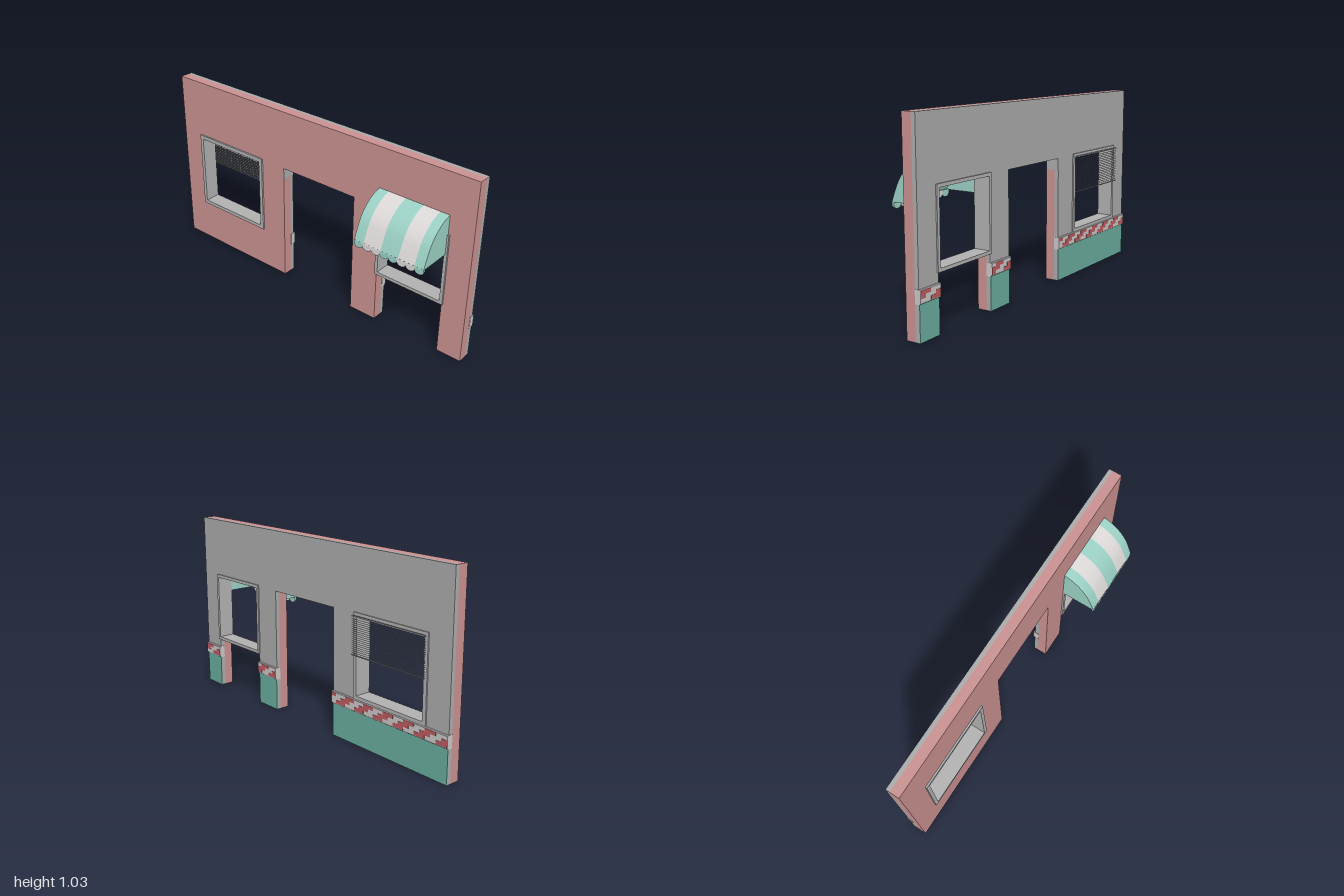
import * as THREE from 'three';

const mat = (name, color, side = THREE.FrontSide) => {
  const m = new THREE.MeshStandardMaterial({ color, side });
  m.name = name;
  return m;
};

export function createModel() {
  const pink = mat('pink plaster', 0xc99090);
  const grey = mat('grey plaster', 0xaaaaaa);
  const frameGrey = mat('frame grey', 0xb0b0b0);
  const teal = mat('teal paint', 0x69ac9d);
  const mint = mat('mint cloth', 0x9bd0c4, THREE.DoubleSide);
  const white = mat('white cloth', 0xdcd8d8, THREE.DoubleSide);
  const tileGrey = mat('pale tile', 0xc9c6c6);
  const tileRed = mat('red tile', 0xbd5a5e);
  const slatGrey = mat('slat grey', 0xa0a0a0);

  const model = new THREE.Group();
  model.name = 'shopWall';

  const add = (name, geo, material, parent = model) => {
    const mesh = new THREE.Mesh(geo, material);
    mesh.name = name;
    parent.add(mesh);
    return mesh;
  };
  // Box given by its minimum and maximum on each axis
  const box = (name, material, x0, x1, y0, y1, z0, z1, parent = model) => {
    const mesh = add(name, new THREE.BoxGeometry(x1 - x0, y1 - y0, z1 - z0), material, parent);
    mesh.position.set((x0 + x1) / 2, (y0 + y1) / 2, (z0 + z1) / 2);
    return mesh;
  };
  const poly = pts => new THREE.Shape(pts.map(p => new THREE.Vector2(...p)));
  const rect = (x0, x1, y0, y1) => [[x0, y0], [x1, y0], [x1, y1], [x0, y1]];
  const slab = (shape, z0, z1) =>
    new THREE.ExtrudeGeometry(shape, { depth: z1 - z0, bevelEnabled: false }).translate(0, 0, z0);
  // Extrudes a (z, y) profile along x
  const alongX = (shape, x0, x1) =>
    new THREE.ExtrudeGeometry(shape, { depth: x1 - x0, bevelEnabled: false })
      .rotateY(-Math.PI / 2).translate(x1, 0, 0);

  // Wall in two layers, with a doorway, a serving hatch and a window hole
  const wall = poly([
    [-1, 0], [-0.2, 0], [-0.2, 0.7], [0.29, 0.7], [0.29, 0], [0.455, 0], [0.455, 0.7],
    [0.86, 0.7], [0.86, 0], [1, 0], [1, 1.035], [-1, 1.035],
  ]);
  wall.holes.push(poly(rect(-0.85, -0.37, 0.255, 0.695)));
  add('outerWall', slab(wall, -0.1, -0.047), pink);
  add('innerWall', slab(wall, -0.123, -0.1), grey);
  // Grey lining at the head of the doorway
  box('doorHead', grey, -0.2, 0.29, 0.697, 0.7, -0.123, -0.048);
  box('doorHeadSide', grey, -0.2, -0.198, 0.63, 0.7, -0.123, -0.048);

  // Window frames through the wall
  const windowFrame = (name, x0, x1, y0, y1, t) => {
    const ring = poly(rect(x0, x1, y0, y1));
    ring.holes.push(poly(rect(x0 + t, x1 - t, y0 + t, y1 - t)));
    add(name, slab(ring, -0.13, -0.037), frameGrey);
  };
  windowFrame('windowFrame', -0.86, -0.36, 0.247, 0.705, 0.022);
  windowFrame('hatchFrame', 0.449, 0.87, 0.297, 0.705, 0.018);

  // Painted base and tiled rail along the inside
  const railProfile = poly([
    [-0.101, 0.18], [-0.125, 0.18], [-0.131, 0.183], [-0.134, 0.19],
    [-0.134, 0.246], [-0.131, 0.25], [-0.101, 0.25],
  ]);
  for (const [x0, x1] of [[-1, -0.2], [0.29, 0.455], [0.86, 1]]) {
    const base = new THREE.Group();
    base.name = 'tiledBase';
    model.add(base);
    box('paintedBase', teal, x0, x1, 0, 0.18, -0.126, -0.122, base);
    add('tileRail', alongX(railProfile, x0 - 0.002, x1 + 0.002), tileGrey, base);
    const n = Math.round((x1 - x0) / 0.035), w = (x1 - x0) / n;
    for (let row = 0; row < 3; row++) {
      for (let i = 0; i < n; i++) {
        if ((i + row) % 4 > 1) continue;
        const y = 0.19 + row * 0.0185;
        box('redTile', tileRed, x0 + i * w, x0 + (i + 1) * w, y, y + 0.0185, -0.1355, -0.133, base);
      }
    }
  }

  // Slatted blind behind the window
  const blind = new THREE.Group();
  blind.name = 'blind';
  model.add(blind);
  box('blindHead', slatGrey, -0.857, -0.363, 0.686, 0.693, -0.148, -0.141, blind);
  box('blindFoot', slatGrey, -0.857, -0.363, 0.486, 0.491, -0.147, -0.142, blind);
  for (let i = 0; i < 18; i++) {
    const y = 0.5 + i * 0.0103;
    const slat = box('slat', slatGrey, -0.857, -0.363, y - 0.0006, y + 0.0006, -0.1475, -0.1415, blind);
    slat.rotation.x = 0.6;
  }

  // Striped awning over the hatch
  const awning = new THREE.Group();
  awning.name = 'awning';
  model.add(awning);
  const arc = new THREE.CatmullRomCurve3([
    [-0.047, 0.81], [0.005, 0.793], [0.057, 0.757], [0.098, 0.708], [0.126, 0.65], [0.148, 0.594],
  ].map(([z, y]) => new THREE.Vector3(0, y, z))).getPoints(20);
  const edges = [0.448, 0.506, 0.609, 0.713, 0.807, 0.86];
  for (let s = 0; s < 5; s++) {
    const width = edges[s + 1] - edges[s];
    const cloth = new THREE.PlaneGeometry(width, 1, 1, 20);
    const pos = cloth.attributes.position;
    for (let i = 0; i < pos.count; i++) {
      const p = arc[Math.floor(i / 2)];
      pos.setXYZ(i, edges[s] + (i % 2) * width, p.y, p.z);
    }
    cloth.computeVertexNormals();
    add('awningStripe', cloth, s % 2 ? white : mint, awning);
  }
  const cheek = poly([...arc.map(p => [p.z, p.y]), [-0.047, 0.594]]);
  for (const x of [0.448, 0.857]) add('awningSide', alongX(cheek, x, x + 0.003), mint, awning);

  // Scalloped valance
  const pitch = (0.86 - 0.448) / 8;
  for (let i = 0; i < 8; i++) {
    const x = 0.448 + (i + 0.5) * pitch;
    const tab = new THREE.Shape();
    tab.moveTo(x + pitch / 2, 0.598);
    tab.lineTo(x - pitch / 2, 0.598);
    tab.lineTo(x - pitch / 2, 0.581);
    tab.absellipse(x, 0.581, pitch / 2, 0.02, Math.PI, Math.PI * 2, false);
    const stripe = edges.findIndex(e => e > x) - 1;
    add('scallop', slab(tab, 0.136, 0.147), stripe % 2 ? white : mint, awning);
  }
  return model;
}
